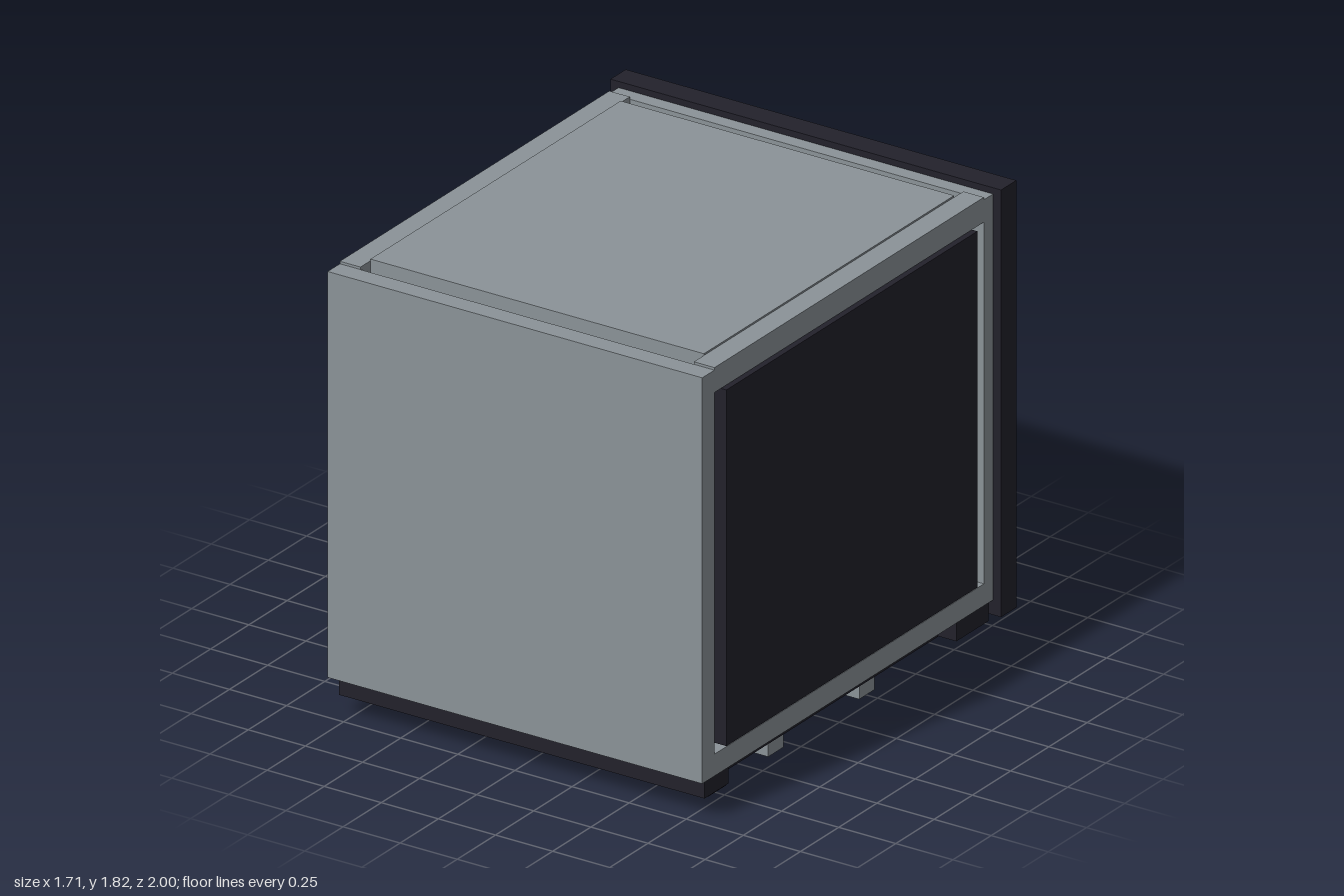
import * as THREE from 'three';

export function createModel() {
  const model = new THREE.Group();
  model.name = 'cabinet';

  const makeMaterial = (name, color) => {
    const m = new THREE.MeshStandardMaterial({ color });
    m.name = name;
    return m;
  };
  const grey = makeMaterial('grey', 0x8b9398);
  const dark = makeMaterial('dark', 0x22212b);
  const blue = makeMaterial('blue', 0x1f7fc0);

  // Box given by its [min, max] extent along each axis
  const block = (name, material, [x0, x1], [y0, y1], [z0, z1]) => {
    const mesh = new THREE.Mesh(new THREE.BoxGeometry(x1 - x0, y1 - y0, z1 - z0), material);
    mesh.position.set((x0 + x1) / 2, (y0 + y1) / 2, (z0 + z1) / 2);
    mesh.name = name;
    model.add(mesh);
  };
  // The same box on the left and the right
  const pair = (name, material, [x0, x1], y, z) => {
    block(name + 'Left', material, [x0, x1], y, z);
    block(name + 'Right', material, [-x1, -x0], y, z);
  };

  // Front and back plates with the overlapping rear panel
  block('frontPlate', grey, [-0.82, 0.82], [0.16, 1.79], [0.92, 1]);
  block('backPlate', grey, [-0.82, 0.82], [0.16, 1.79], [-0.9, -0.84]);
  block('rearPanel', dark, [-0.855, 0.855], [0.1, 1.815], [-1, -0.9]);

  // Long beams joining the plates
  pair('topBeam', grey, [0.73, 0.82], [1.7, 1.8], [-0.84, 0.92]);
  pair('bottomBeam', grey, [0.73, 0.82], [0.16, 0.248], [-0.84, 0.92]);

  // Inset panels, separated from the frame by small gaps
  pair('sidePanel', dark, [0.73, 0.832], [0.26, 1.69], [-0.78, 0.86]);
  block('topPanel', grey, [-0.73, 0.73], [1.705, 1.807], [-0.78, 0.855]);
  block('floorPanel', dark, [-0.79, 0.79], [0.145, 0.16], [-0.9, 0.92]);

  // Base: crosswise rails at the ends, lower rails and spacers at the sides
  block('frontBaseRail', dark, [-0.8, 0.8], [0.078, 0.158], [0.8, 0.955]);
  block('backBaseRail', dark, [-0.8, 0.8], [0.07, 0.155], [-0.9, -0.69]);
  block('frontBaseLip', dark, [-0.79, 0.79], [0.068, 0.078], [0.8, 0.915]);
  pair('sideBaseRail', dark, [0.58, 0.72], [0.068, 0.12], [-0.69, 0.8]);
  pair('railSpacer', dark, [0.58, 0.72], [0.12, 0.145], [-0.305, 0.39]);

  // Feet under the left rail
  for (const [i, z] of [0.34, -0.255].entries())
    block('foot' + (i + 1), grey, [0.6, 0.7], [0, 0.068], [z - 0.05, z + 0.05]);

  // Display on its mount, with a connector strip beside it
  block('displayMount', dark, [-0.58, -0.45], [0.068, 0.12], [0.5, 0.8]);
  block('display', blue, [-0.73, -0.45], [0.057, 0.068], [0.595, 0.755]);
  block('connector', grey, [-0.72, -0.48], [0.05, 0.068], [0.515, 0.545]);

  return model;
}
